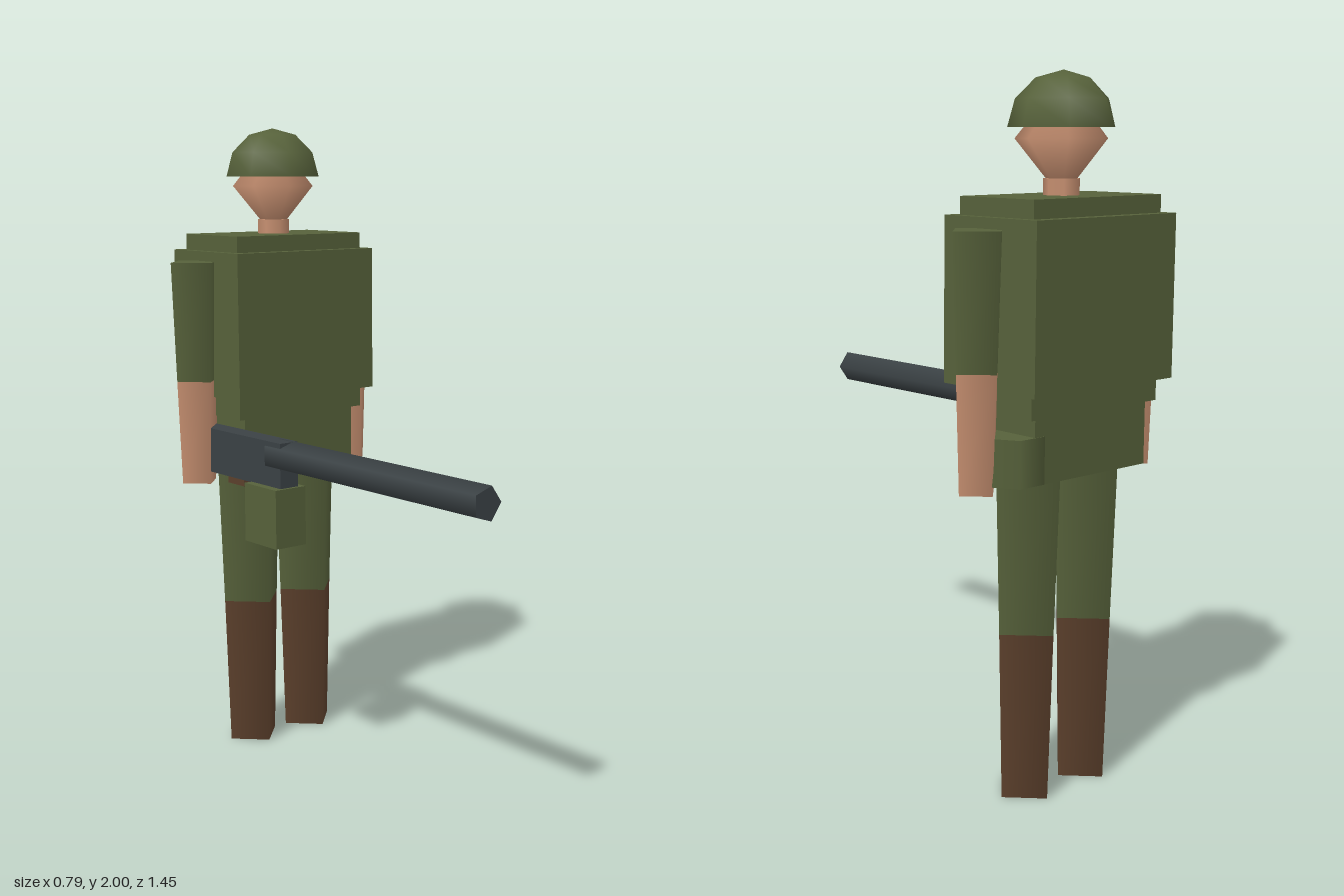
import * as THREE from 'three';

const mat = (name, color) => {
  const m = new THREE.MeshStandardMaterial({ color });
  m.name = name;
  return m;
};

export function createModel() {
  const green = mat('olive green', 0x57623b);
  const skin = mat('skin', 0xc68f70);
  const brown = mat('brown leather', 0x5c402c);
  const steel = mat('gun steel', 0x3b4245);

  const root = new THREE.Group();
  root.name = 'soldier';
  const Z = -0.55; // body centre line

  const add = (name, geometry, material, x = 0, y = 0, z = Z) => {
    const mesh = new THREE.Mesh(geometry, material);
    mesh.name = name;
    mesh.position.set(x, y, z);
    root.add(mesh);
    return mesh;
  };
  // Box from its limits on each axis
  const box = (name, material, [x0, x1], [y0, y1], [z0, z1]) =>
    add(name, new THREE.BoxGeometry(x1 - x0, y1 - y0, z1 - z0), material,
      (x0 + x1) / 2, (y0 + y1) / 2, (z0 + z1) / 2);
  // Upright tapered prism between two heights
  const limb = (name, material, x, y0, y1, r0, r1, sides = 4, z = Z) =>
    add(name, new THREE.CylinderGeometry(r1, r0, y1 - y0, sides), material, x, (y0 + y1) / 2, z);

  // Torso, vest and hips
  box('torso', green, [-0.243, 0.243], [1.1, 1.67], [Z - 0.14, Z + 0.14]);
  box('vest', green, [-0.267, 0.267], [1.165, 1.62], [Z - 0.175, Z + 0.175]);
  box('hips', green, [-0.215, 0.215], [0.92, 1.1], [Z - 0.126, Z + 0.126]);

  // Arms and legs, mirrored
  for (const [side, s] of [['left', 1], ['right', -1]]) {
    limb(side + 'Sleeve', green, s * 0.306, 1.22, 1.59, 0.075, 0.088);
    limb(side + 'Forearm', skin, s * 0.306, 0.895, 1.22, 0.063, 0.075);
    limb(side + 'Trouser', green, s * 0.113, 0.48, 0.93, 0.105, 0.121);
    limb(side + 'Boot', brown, s * 0.113, 0, 0.48, 0.09, 0.105);
  }

  // Neck and head
  limb('neck', skin, 0, 1.66, 1.715, 0.051, 0.051, 7).rotation.y = Math.PI / 2;
  add('head', new THREE.SphereGeometry(0.13, 7, 2).rotateY(Math.PI).scale(1, 0.16 / 0.13, 1), skin, 0, 1.82);

  // Helmet dome with closed underside
  add('helmet', new THREE.SphereGeometry(0.15, 7, 3, 0, Math.PI * 2, 0, Math.PI / 2).rotateY(Math.PI),
    green, 0, 1.85);
  add('helmetUnderside', new THREE.CircleGeometry(0.15, 7).rotateX(Math.PI / 2), green, 0, 1.85);

  // Belt kit
  limb('canteen', green, 0.225, 0.92, 1.05, 0.09, 0.09, 6, -0.6).rotation.y = Math.PI / 2;
  box('holster', brown, [-0.25, -0.16], [0.895, 1.03], [-0.47, -0.385]);

  // Gun
  const barrel = new THREE.CylinderGeometry(0.05, 0.05, 0.915, 5).rotateY(Math.PI / 2).rotateX(Math.PI / 2);
  add('gunBarrel', barrel, steel, -0.27, 1.028, 0.268);
  box('gunReceiver', steel, [-0.306, -0.24], [0.935, 1.074], [-0.58, -0.118]);
  box('ammoBox', green, [-0.332, -0.221], [0.757, 0.937], [-0.265, -0.107]);

  return root;
}
